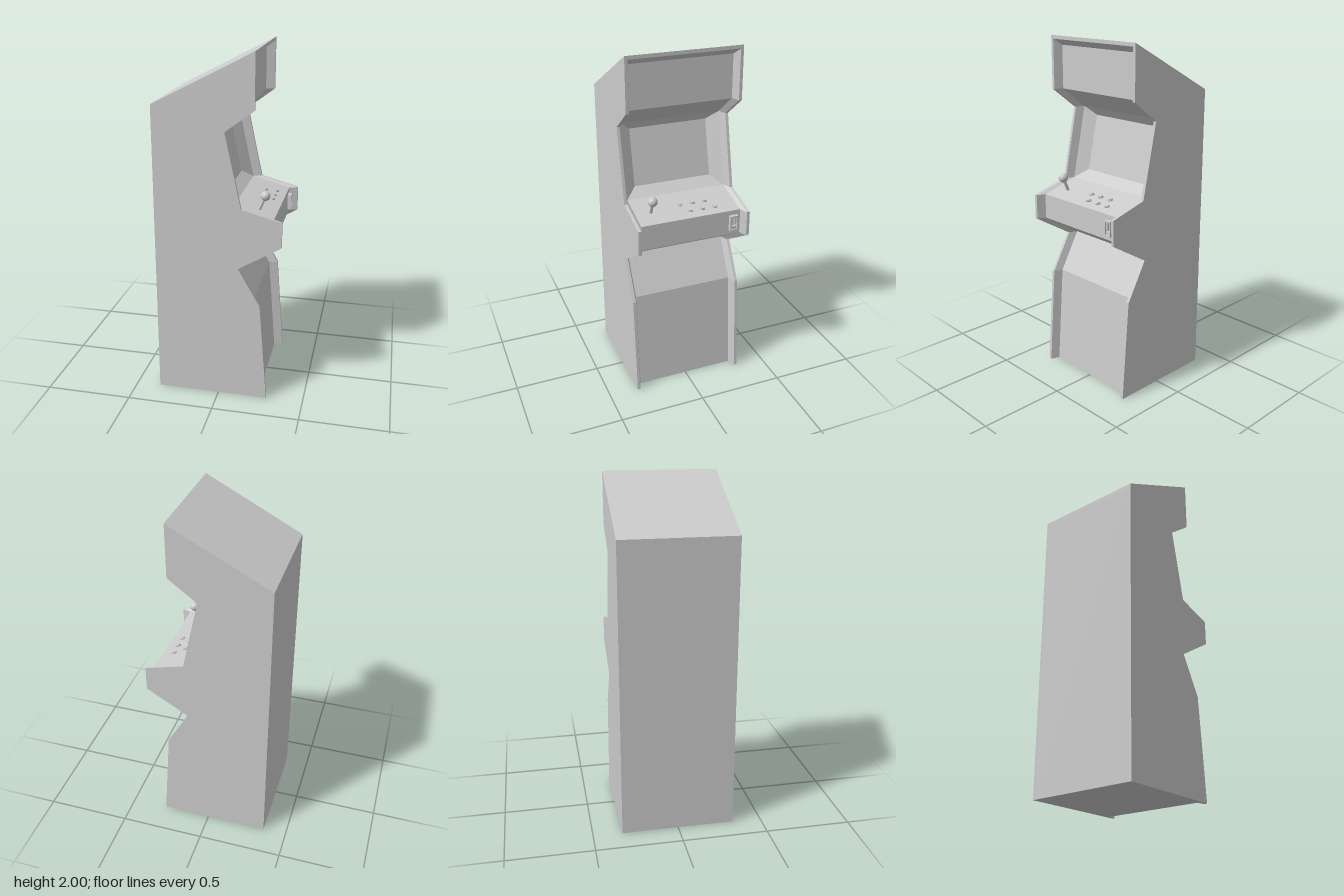
import * as THREE from 'three';

const mat = new THREE.MeshStandardMaterial({ color: 0xcccccc });
const panelMat = new THREE.MeshStandardMaterial({ color: 0xcccccc, side: THREE.DoubleSide, flatShading: true });

const INSET = 0.05;    // front panels sit this far behind the side panels' edge
const Z_OUT = 0.33, Z_IN = 0.313, Z_BEVEL = 0.295;

// front edge of the side panels, bottom to top
const FRONT = [[0.285, 0], [0.24, 0.59], [0.115, 0.81], [0.355, 0.955], [0.355, 1.1],
  [0.13, 1.16], [0.04, 1.58], [0.2, 1.7]];

function add(parent, name, geo, x = 0, y = 0, z = 0, material = mat) {
  const m = new THREE.Mesh(geo, material);
  m.name = name;
  m.position.set(x, y, z);
  parent.add(m);
  return m;
}

// extrude an x-y outline between two z values
function slab(points, z0, z1) {
  const shape = new THREE.Shape(points.map(([x, y]) => new THREE.Vector2(x, y)));
  return new THREE.ExtrudeGeometry(shape, { depth: z1 - z0, bevelEnabled: false }).translate(0, 0, z0);
}

// ribbon of quads between two rows of 3D points
function ribbon(rowA, rowB) {
  const pos = [], idx = [];
  rowA.forEach((a, i) => pos.push(...a, ...rowB[i]));
  for (let i = 0; i < rowA.length - 1; i++) {
    const k = i * 2;
    idx.push(k, k + 1, k + 2, k + 1, k + 3, k + 2);
  }
  const g = new THREE.BufferGeometry();
  g.setAttribute('position', new THREE.Float32BufferAttribute(pos, 3));
  g.setIndex(idx);
  const flat = g.toNonIndexed();
  flat.computeVertexNormals();
  return flat;
}

export function createModel() {
  const cabinet = new THREE.Group();
  cabinet.name = 'arcadeCabinet';

  const inner = FRONT.map(([x, y]) => [x - INSET, y]);
  const screen = [[0.02, 1.21], [-0.05, 1.53]];

  // core: lower front, control deck, screen recess, marquee, back and base
  add(cabinet, 'body', slab([[-0.36, 0], ...inner.slice(0, 6), ...screen, ...inner.slice(6),
    [0.15, 1.95], [-0.36, 1.7]], -Z_IN, Z_IN));

  // roof with a sloped lip over the marquee
  add(cabinet, 'roof', slab([[-0.36, 1.69], [0.15, 1.945], [0.2, 1.98], [0.2, 2], [-0.36, 1.71]], -Z_IN, Z_IN));

  // side panels, slanted trim behind their front edges, and screen bezels
  for (const s of [1, -1]) {
    const side = new THREE.Group();
    side.name = s > 0 ? 'leftInFrontView' : 'rightInFrontView';
    side.name = s > 0 ? 'nearSide' : 'farSide';
    cabinet.add(side);
    add(side, 'sidePanel', slab([[-0.36, 0], ...FRONT, [0.2, 2], [-0.36, 1.71]],
      s > 0 ? Z_IN : -Z_OUT, s > 0 ? Z_OUT : -Z_IN));
    const outerRow = [...FRONT, [0.2, 1.98]].map(([x, y]) => [x, y, s * Z_IN]);
    const innerRow = [...inner, [0.15, 1.945]].map(([x, y]) => [x, y, s * Z_BEVEL]);
    add(side, 'edgeTrim', ribbon(outerRow, innerRow), 0, 0, 0, panelMat);
    add(side, 'screenBezel', ribbon(inner.slice(5, 7).map(([x, y]) => [x, y, s * Z_BEVEL]),
      screen.map(([x, y]) => [x, y, s * 0.23])), 0, 0, 0, panelMat);
  }

  // two staggered rows of buttons on the sloped deck
  const slope = Math.atan2(0.06, 0.225);
  const deckY = (x) => 1.16 - Math.tan(slope) * (x - 0.08);
  for (const [x, z0] of [[0.245, -0.016], [0.185, 0.022]]) {
    for (let i = 0; i < 3; i++) {
      const z = z0 - i * 0.075;
      const rim = add(cabinet, 'buttonRim', new THREE.CylinderGeometry(0.016, 0.016, 0.012, 24), x, deckY(x), z);
      const cap = add(rim, 'buttonCap', new THREE.CylinderGeometry(0.012, 0.013, 0.006, 24), 0, 0.008, 0);
      rim.rotation.z = -slope;
      cap.castShadow = false;
    }
  }

  // joystick leaning forward
  const foot = new THREE.Vector3(0.206, 1.12, 0.205), tip = new THREE.Vector3(0.242, 1.205, 0.205);
  const joystick = new THREE.Group();
  joystick.name = 'joystick';
  cabinet.add(joystick);
  add(joystick, 'joystickShaft', new THREE.TubeGeometry(new THREE.LineCurve3(foot, tip), 1, 0.009, 16));
  add(joystick, 'joystickBall', new THREE.SphereGeometry(0.027, 32, 20), tip.x, tip.y, tip.z);

  // coin slot on the front of the control deck
  const coin = new THREE.Group();
  coin.name = 'coinSlot';
  coin.position.set(0.305, 1.028, -0.251);
  cabinet.add(coin);
  for (const s of [1, -1]) {
    add(coin, 'coinFrameSide', new THREE.BoxGeometry(0.044, 0.09, 0.008), 0, 0, s * 0.02);
    add(coin, 'coinFrameEnd', new THREE.BoxGeometry(0.044, 0.008, 0.032), 0, s * 0.041, 0);
    add(coin, 'coinPlate', new THREE.BoxGeometry(0.026, 0.05, 0.011), 0, 0.012, s * 0.0105);
  }
  add(coin, 'coinReturn', new THREE.BoxGeometry(0.03, 0.018, 0.032), 0, -0.028, 0);

  return cabinet;
}
